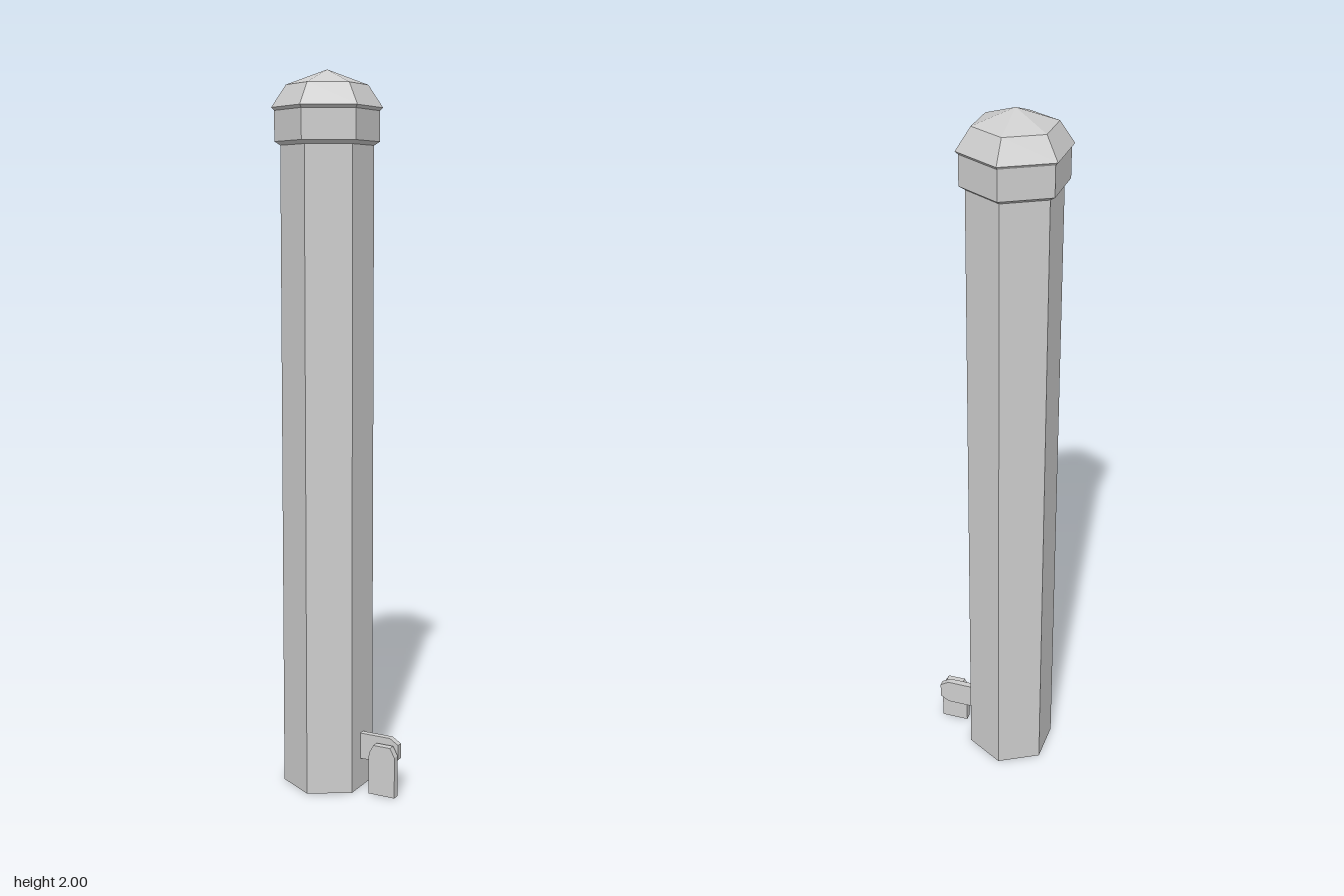
import * as THREE from 'three';

const POST_X = -0.052;

export function createModel() {
  const model = new THREE.Group();
  model.name = 'fencePost';
  const stone = new THREE.MeshStandardMaterial({ color: 0xcccccc, flatShading: true });
  stone.name = 'pale grey';

  const add = (name, geometry, x, y, z) => {
    const mesh = new THREE.Mesh(geometry, stone);
    mesh.name = name;
    mesh.position.set(x, y, z);
    model.add(mesh);
  };

  // Six-sided turned part from [radius, height] pairs, bottom to top
  const hexLathe = (profile) =>
    new THREE.LatheGeometry(profile.map(([r, y]) => new THREE.Vector2(r, y)), 6);

  // Flat board cut from an outline in x and y
  const board = (outline, depth) =>
    new THREE.ExtrudeGeometry(
      new THREE.Shape(outline.map(([x, y]) => new THREE.Vector2(x, y))),
      { depth, bevelEnabled: false }
    );

  // Hexagonal shaft
  add('shaft', hexLathe([[0, 0], [0.127, 0], [0.127, 1.81]]), POST_X, 0, 0);

  // Collar flaring into the overhanging cap
  add('collar', hexLathe([[0.127, 1.8], [0.143, 1.81], [0.143, 1.892]]), POST_X, 0, 0);
  add('cap', hexLathe([[0.143, 1.892], [0.151, 1.9], [0.111, 1.96], [0, 2]]), POST_X, 0, 0);

  // Short rail stub with a chamfered end
  add('rail', board([
    [0.04, 0.085], [0.151, 0.085], [0.177, 0.101],
    [0.177, 0.144], [0.151, 0.16], [0.04, 0.16],
  ], 0.018), 0, 0, -0.006);

  // Picket with clipped top corners, standing in front of the rail
  add('picket', board([
    [0.101, 0], [0.181, 0], [0.181, 0.118],
    [0.167, 0.144], [0.115, 0.144], [0.101, 0.118],
  ], 0.021), 0, 0, 0.023);

  return model;
}
